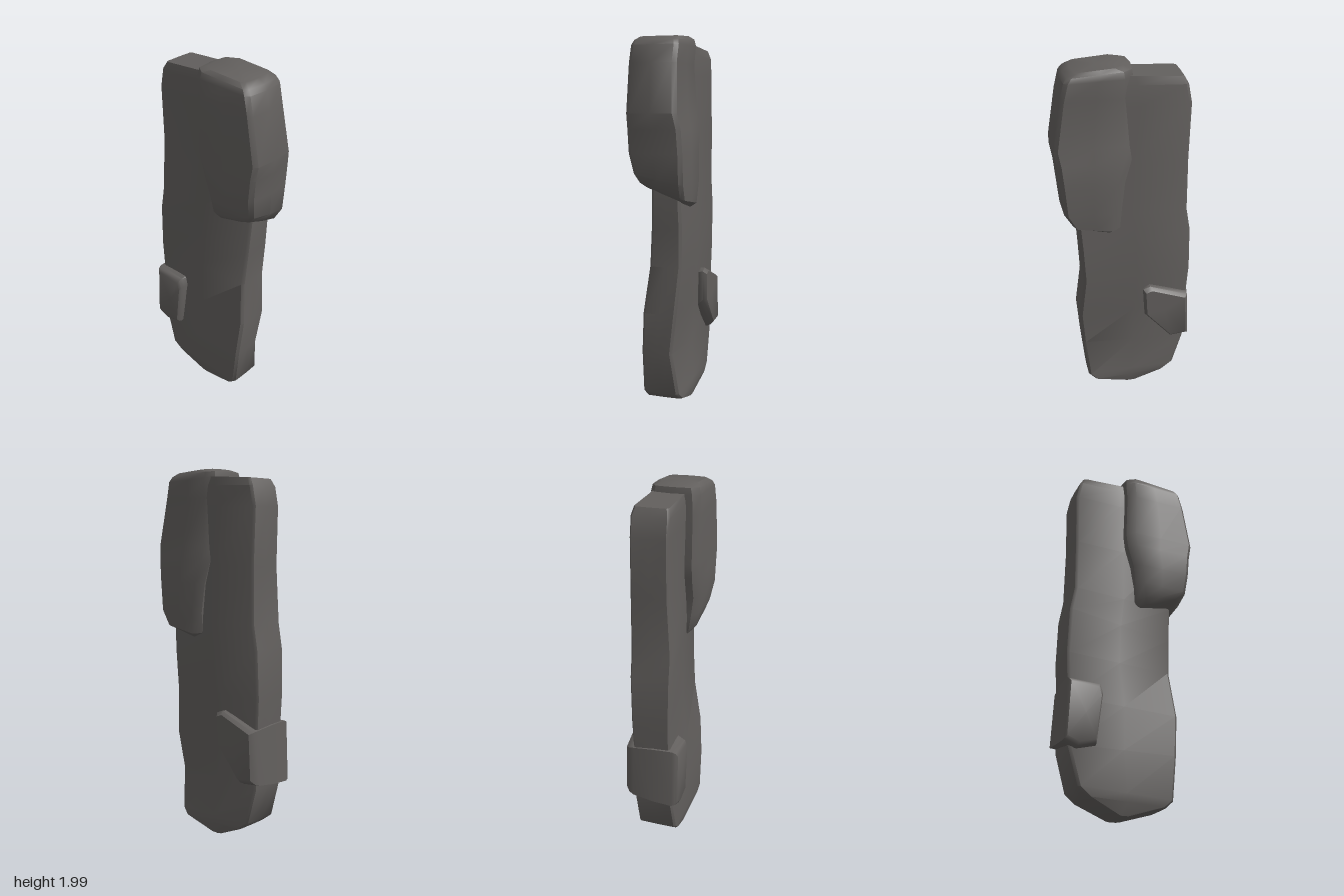
import * as THREE from 'three';
import { toCreasedNormals } from 'three/addons/utils/BufferGeometryUtils.js';

// Closed skin through rings of equal point count, with fan caps at both ends
function loft(rings, crease) {
  const pos = [];
  const tri = (a, b, c) => pos.push(...a, ...b, ...c);
  const n = rings[0].length;
  const centre = r => [0, 1, 2].map(k => r.reduce((s, p) => s + p[k], 0) / n);
  const first = rings[0], last = rings[rings.length - 1];
  const c0 = centre(first), c1 = centre(last);
  for (let i = 0; i < n; i++) {
    const j = (i + 1) % n;
    tri(c0, first[j], first[i]);
    tri(c1, last[i], last[j]);
    for (let k = 0; k + 1 < rings.length; k++) {
      const a = rings[k], b = rings[k + 1];
      tri(a[i], a[j], b[j]);
      tri(a[i], b[j], b[i]);
    }
  }
  const g = new THREE.BufferGeometry();
  g.setAttribute('position', new THREE.Float32BufferAttribute(pos, 3));
  return toCreasedNormals(g, crease);
}

// Bevelled slab section: heights, x limits and front/back depths at each side
function section([yl, yr, x0, x1, fl, fr, bl, br, tilt = 0], bl0, br0, crown) {
  const xm = (x0 + x1) / 2;
  const pts = [
    [x0, fl - bl0 * 0.7], [x0 + bl0, fl], [xm, (fl + fr) / 2], [x1 - br0, fr], [x1, fr - br0],
    [x1 + crown, (fr + br) / 2],
    [x1, br + br0], [x1 - br0, br], [xm, (bl + br) / 2], [x0 + bl0, bl], [x0, bl + bl0 * 0.7],
    [x0 - crown, (fl + bl) / 2],
  ];
  return pts.map(([x, z]) => {
    const t = (x - x0) / (x1 - x0);
    return [x, yl + (yr - yl) * t + tilt * z, z];
  });
}

export function createModel() {
  const group = new THREE.Group();
  const stone = new THREE.MeshStandardMaterial({ color: 0x625f5d });
  stone.name = 'dark grey stone';
  const add = (name, geometry) => {
    const mesh = new THREE.Mesh(geometry, stone);
    mesh.name = name;
    group.add(mesh);
  };

  // Long uneven slab: yLeft, yRight, x0, x1, front z at x0/x1, back z at x0/x1
  const slab = [
    [0.01, 0.01, -0.07, 0.0, 0.09, 0.09, -0.08, -0.08],
    [0.085, 0.065, -0.23, 0.185, 0.11, 0.11, -0.1, -0.095],
    [0.13, 0.1, -0.285, 0.222, 0.115, 0.115, -0.1, -0.085],
    [0.33, 0.33, -0.34, 0.245, 0.11, 0.115, -0.1, -0.055],
    [0.58, 0.55, -0.345, 0.263, 0.105, 0.1, -0.1, -0.085],
    [0.82, 0.8, -0.358, 0.237, 0.105, 0.07, -0.105, -0.105],
    [1.07, 1.0, -0.35, 0.248, 0.108, 0.057, -0.11, -0.11],
    [1.2, 1.2, -0.327, 0.262, 0.108, 0.05, -0.11, -0.105],
    [1.5, 1.5, -0.322, 0.24, 0.09, 0.07, -0.11, -0.1],
    [1.8, 1.8, -0.328, 0.2, 0.09, 0.08, -0.105, -0.095],
    [1.9, 1.92, -0.308, 0.2, 0.09, 0.08, -0.105, -0.095],
    [1.94, 1.97, -0.285, 0.19, 0.08, 0.075, -0.095, -0.09],
  ];
  add('slab', loft(slab.map(r => section(r, 0.014, 0.014, 0.002)), 0.75));

  // Thick upper block; its underside slopes down towards the back
  const block = [
    [1.14, 1.19, 0.05, 0.25, 0.09, 0.09, -0.11, -0.11, 0.4],
    [1.17, 1.21, 0.035, 0.285, 0.115, 0.11, -0.14, -0.135, 0.35],
    [1.27, 1.27, 0.028, 0.33, 0.13, 0.125, -0.15, -0.14, 0.2],
    [1.4, 1.4, 0.01, 0.342, 0.148, 0.147, -0.145, -0.14],
    [1.52, 1.52, -0.025, 0.353, 0.149, 0.149, -0.137, -0.135],
    [1.6, 1.6, -0.035, 0.367, 0.15, 0.149, -0.12, -0.12],
    [1.85, 1.85, -0.028, 0.325, 0.15, 0.149, -0.105, -0.105],
    [1.95, 1.94, -0.035, 0.303, 0.148, 0.145, -0.112, -0.108],
    [1.985, 1.965, -0.03, 0.285, 0.14, 0.135, -0.105, -0.1],
    [2.0, 1.985, 0.01, 0.25, 0.12, 0.115, -0.085, -0.085],
  ];
  add('upperBlock', loft(block.map(r => section(r, 0.045, 0.02, 0.01)), 0.7));

  // Small lug wrapping the lower side, lofted from back to front
  const back = [[-0.26, 0.36], [-0.1, 0.55], [-0.09, 0.72], [-0.13, 0.735], [-0.35, 0.65], [-0.365, 0.37]];
  const front = [[-0.3, 0.31], [-0.2, 0.335], [-0.168, 0.61], [-0.185, 0.66], [-0.36, 0.672], [-0.375, 0.34]];
  const lugRing = (t, z, size) => {
    const pts = back.map((p, i) => p.map((v, k) => v + (front[i][k] - v) * t));
    const c = [0, 1].map(k => pts.reduce((s, p) => s + p[k], 0) / pts.length);
    return pts.map(p => [c[0] + (p[0] - c[0]) * size, c[1] + (p[1] - c[1]) * size, z]);
  };
  add('sideLug', loft([
    lugRing(0, -0.145, 0.87), lugRing(0, -0.125, 0.98), lugRing(0.1, -0.1, 1.02),
    lugRing(0.55, 0.02, 1.04), lugRing(1, 0.12, 1), lugRing(1, 0.14, 0.95), lugRing(1, 0.15, 0.85),
  ], 0.75));

  return group;
}
